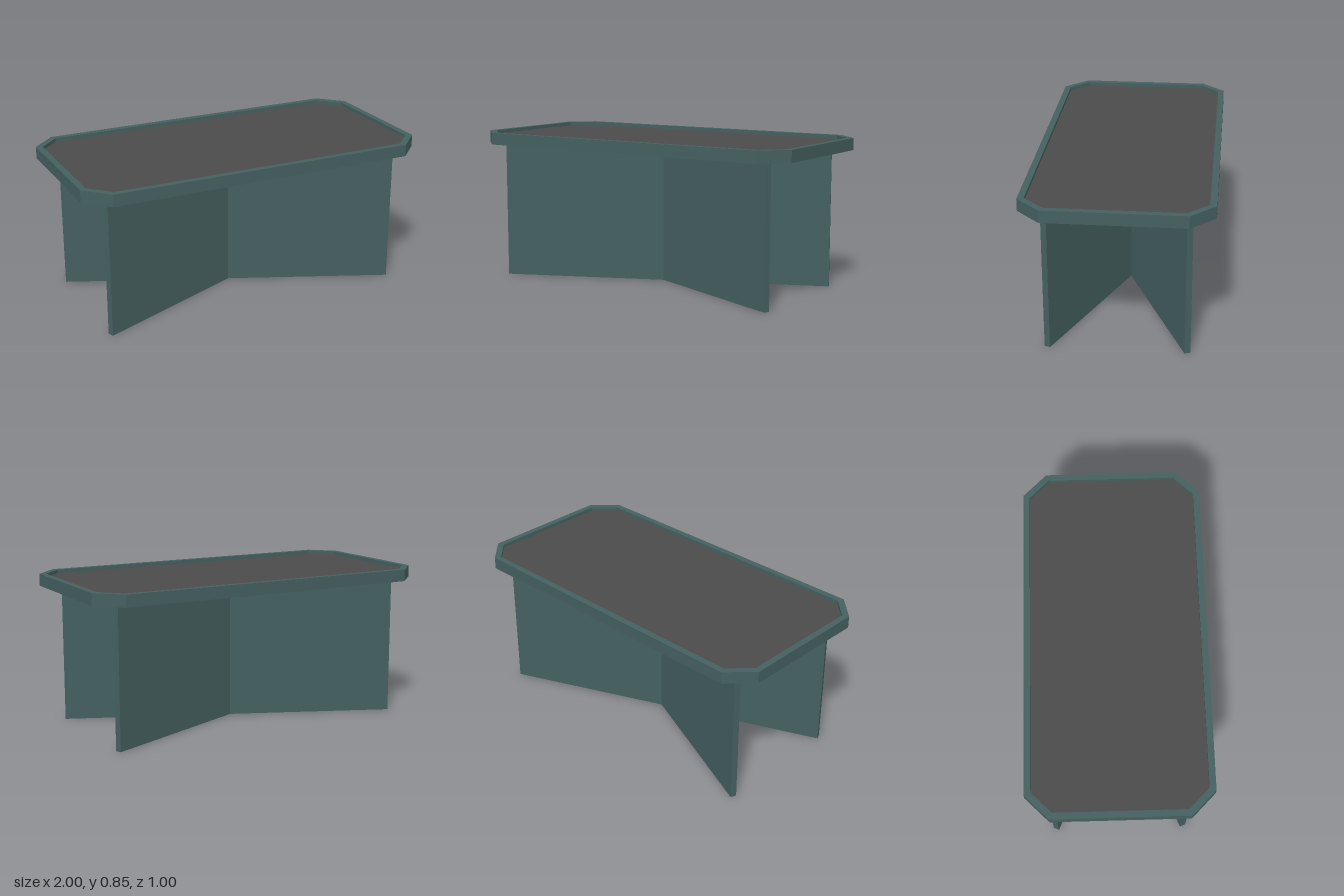
import * as THREE from 'three';

const TOP = 0.85, UNDER = 0.783, FLOOR = 0.83;

// Rectangle with cut corners; (cx, cz) is where each long / short side ends
function octagon(PathType, x, z, cx, cz) {
  const p = new PathType();
  p.setFromPoints([
    [cx, z], [-cx, z], [-x, cz], [-x, -cz], [-cx, -z], [cx, -z], [x, -cz], [x, cz],
  ].map(([a, b]) => new THREE.Vector2(a, b)));
  p.closePath();
  return p;
}

// Flat slab lying in xz between two heights
function slab(shape, y0, y1) {
  const g = new THREE.ExtrudeGeometry(shape, { depth: y1 - y0, bevelEnabled: false });
  g.rotateX(-Math.PI / 2);
  g.translate(0, y0, 0);
  return g;
}

export function createModel() {
  const group = new THREE.Group();
  const frameMat = new THREE.MeshStandardMaterial({ color: 0x456060 });
  const insetMat = new THREE.MeshStandardMaterial({ color: 0x4b4b4b });
  const add = (geometry, material, name) => {
    const mesh = new THREE.Mesh(geometry, material);
    mesh.name = name;
    group.add(mesh);
    return mesh;
  };

  const outer = () => octagon(THREE.Shape, 1, 0.5, 0.87, 0.37);
  const inner = (PathType) => octagon(PathType, 0.965, 0.465, 0.855, 0.355);

  // Table top: solid base with a raised rim around the recess
  add(slab(outer(), UNDER, FLOOR - 0.005), frameMat, 'tableTopBase');
  const rim = outer();
  rim.holes.push(inner(THREE.Path));
  add(slab(rim, FLOOR - 0.005, TOP), frameMat, 'tableTopRim');

  // Recessed panel
  add(slab(inner(THREE.Shape), FLOOR - 0.005, FLOOR), insetMat, 'insetPanel');

  // Two upright boards crossing on the diagonals
  const angle = Math.atan2(0.37, 0.87);
  const length = 2 * Math.hypot(0.87, 0.37);
  for (const [side, name] of [[1, 'legBoardA'], [-1, 'legBoardB']]) {
    const board = add(new THREE.BoxGeometry(length, UNDER, 0.033), frameMat, name);
    board.position.y = UNDER / 2;
    board.rotation.y = side * angle;
  }
  return group;
}
